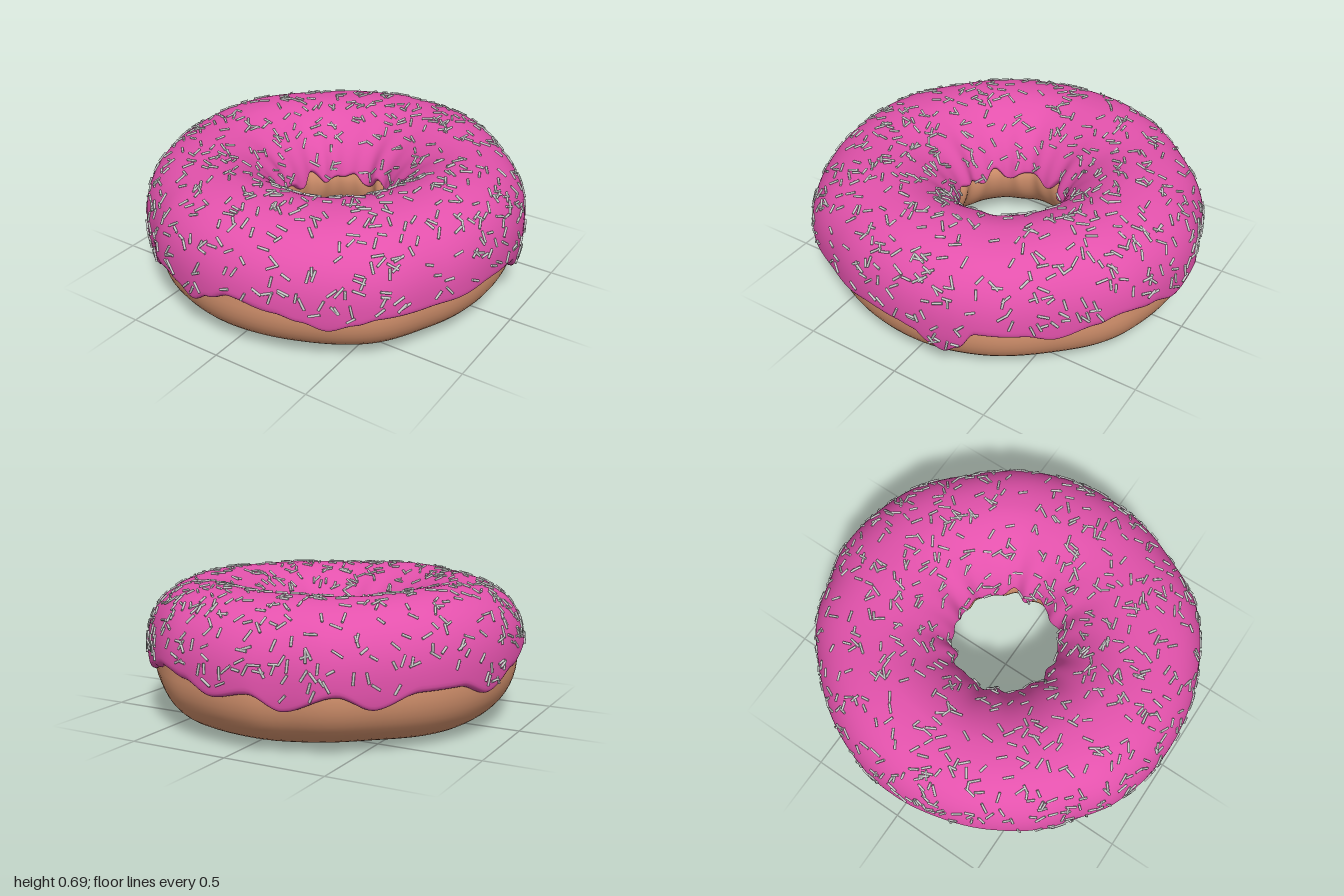
import * as THREE from 'three';
import { mergeGeometries } from 'three/addons/utils/BufferGeometryUtils.js';

const RING = 0.62, MID_Y = 0.327, HALF_W = 0.325, HALF_H = 0.317, ICING = 0.03;
const OUTER_POWER = 2.3, INNER_POWER = 1.8;
const TAU = Math.PI * 2;

// Outer rim of the icing: [degrees, height]
const RIM = [
  [0, 0.275], [10, 0.285], [20, 0.27], [32, 0.28], [46, 0.285], [52, 0.26], [59, 0.225], [66, 0.265],
  [73, 0.295], [86, 0.325], [93, 0.28], [99, 0.225], [105, 0.265], [111, 0.285], [117, 0.28], [123, 0.20],
  [127, 0.15], [131, 0.20], [138, 0.285], [150, 0.325], [165, 0.345], [180, 0.30], [194, 0.225], [205, 0.285],
  [218, 0.285], [231, 0.215], [241, 0.285], [255, 0.21], [264, 0.285], [275, 0.25], [285, 0.305], [296, 0.335],
  [303, 0.305], [315, 0.255], [324, 0.295], [337, 0.305], [342, 0.20], [346.5, 0.15], [350, 0.19], [355, 0.26], [360, 0.275],
];

// Unevenness of the outer girth: [degrees, extra radius]
const GIRTH = [
  [0, -0.02], [26, -0.012], [47, 0.025], [70, 0.012], [90, 0.01], [113, 0.008], [125, -0.016], [137, -0.01],
  [180, -0.015], [225, -0.018], [243, 0.004], [254, -0.006], [265, 0.015], [290, 0.004], [315, -0.036],
  [335, -0.022], [360, -0.02],
];

const signedPow = (v, p) => Math.sign(v) * Math.abs(v) ** p;

function lookUp(table, theta) {
  const deg = ((theta / TAU * 360) % 360 + 360) % 360;
  const k = Math.max(1, table.findIndex((p) => p[0] >= deg));
  const [d0, v0] = table[k - 1], [d1, v1] = table[k];
  return v0 + (v1 - v0) * THREE.MathUtils.smoothstep(deg, d0, d1);
}

// Point on the lumpy ring; phi runs outer (0), top (PI/2), inner (PI)
function ringPoint(theta, phi, offset) {
  const power = 2 / (Math.cos(phi) > 0 ? OUTER_POWER : INNER_POWER);
  const c = signedPow(Math.cos(phi), power), s = signedPow(Math.sin(phi), power);
  const outer = Math.max(0, c), inner = Math.max(0, -c);
  const fold = 0.009 * Math.sin(11 * theta) + 0.006 * Math.sin(17 * theta + 2);
  const r = RING + (HALF_W + offset) * c + lookUp(GIRTH, theta) * outer + fold * inner * inner;
  const wave = 0.005 * Math.sin(4 * theta + 0.6) + 0.003 * Math.sin(7 * theta + 2);
  const y = MID_Y + (HALF_H + offset) * s + wave * s;
  return new THREE.Vector3(r * Math.cos(theta), y, r * Math.sin(theta));
}

const heightToPhi = (y, power) => Math.asin(signedPow((y - MID_Y) / (HALF_H + ICING), power / 2));

// Angles where the icing begins (outside) and ends (in the hole)
function icingRange(theta) {
  const innerY = 0.345 + 0.025 * Math.sin(9 * theta) + 0.015 * Math.sin(14 * theta + 1);
  return [heightToPhi(lookUp(RIM, theta), OUTER_POWER), Math.PI - heightToPhi(innerY, INNER_POWER)];
}

// Smooth grid closed around theta
function sweep(cols, rows, pointAt) {
  const pos = [], index = [];
  for (let i = 0; i < cols; i++) {
    for (let j = 0; j <= rows; j++) pos.push(...pointAt(i / cols * TAU, j / rows).toArray());
  }
  const id = (i, j) => (i % cols) * (rows + 1) + j;
  for (let i = 0; i < cols; i++) {
    for (let j = 0; j < rows; j++) {
      index.push(id(i, j), id(i, j + 1), id(i + 1, j), id(i + 1, j), id(i, j + 1), id(i + 1, j + 1));
    }
  }
  const g = new THREE.BufferGeometry();
  g.setAttribute('position', new THREE.Float32BufferAttribute(pos, 3));
  g.setIndex(index);
  g.computeVertexNormals();
  return g;
}

function seeded(seed) {
  return () => {
    seed = (seed * 1664525 + 1013904223) % 4294967296;
    return seed / 4294967296;
  };
}

function sprinkleGeometry(count) {
  const rand = seeded(7), parts = [], up = new THREE.Vector3(0, 1, 0), step = 0.01;
  while (parts.length < count) {
    const theta = rand() * TAU;
    const [a, b] = icingRange(theta);
    const phi = THREE.MathUtils.lerp(a + 0.1, b - 0.1, rand());
    const p = ringPoint(theta, phi, ICING);
    const dTheta = ringPoint(theta + step, phi, ICING).sub(p);
    const dPhi = ringPoint(theta, phi + step, ICING).sub(p);
    // Keep the spread even by area
    if (rand() * 0.5 > dTheta.length() * dPhi.length() / step ** 2) continue;
    dTheta.normalize();
    dPhi.normalize();
    const normal = dPhi.clone().cross(dTheta).normalize();
    const spin = rand() * TAU;
    const dir = dTheta.multiplyScalar(Math.cos(spin)).addScaledVector(dPhi, Math.sin(spin)).normalize();
    const g = new THREE.CylinderGeometry(0.006, 0.006, 0.038 + 0.022 * rand(), 6);
    g.applyQuaternion(new THREE.Quaternion().setFromUnitVectors(up, dir));
    p.addScaledVector(normal, 0.003);
    parts.push(g.translate(p.x, p.y, p.z));
  }
  return mergeGeometries(parts);
}

export function createModel() {
  const group = new THREE.Group();
  group.name = 'doughnut';
  const add = (name, geometry, color) => {
    const mesh = new THREE.Mesh(geometry, new THREE.MeshStandardMaterial({ color }));
    mesh.name = name;
    group.add(mesh);
  };

  // Baked ring
  add('dough', sweep(160, 56, (t, v) => ringPoint(t, v * TAU, 0)), 0xdd9872);

  // Icing shell with rounded, dripping edges
  add('icing', sweep(360, 56, (t, v) => {
    const [a, b] = icingRange(t);
    const phi = a + (b - a) * (1 - Math.cos(Math.PI * v)) / 2;
    const d = Math.min(1, Math.min(phi - a, b - phi) * HALF_W / 0.025);
    return ringPoint(t, phi, -0.005 + (ICING + 0.005) * Math.sqrt(Math.max(0, 1 - (1 - d) ** 2)));
  }), 0xe352ac);

  // Sprinkles scattered over the icing
  add('sprinkles', sprinkleGeometry(850), 0xcccccc);
  return group;
}
